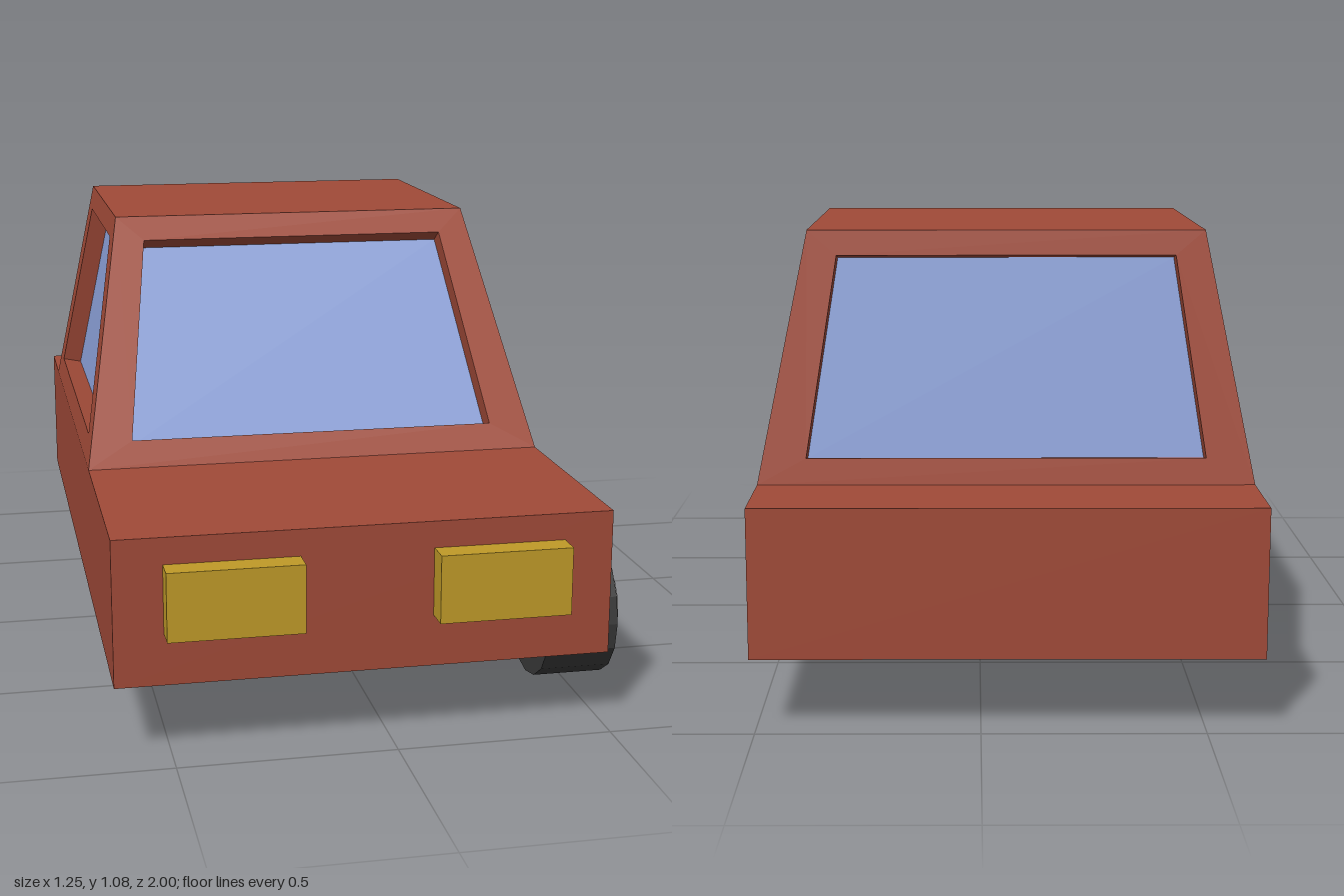
import * as THREE from 'three';

const paint = new THREE.MeshStandardMaterial({ color: 0xa04a38 });
const glass = new THREE.MeshStandardMaterial({ color: 0x8a9fd6 });
const lamp = new THREE.MeshStandardMaterial({ color: 0xbf9a28 });
const rubber = new THREE.MeshStandardMaterial({ color: 0x3a3a3a, flatShading: true });
const metal = new THREE.MeshStandardMaterial({ color: 0x8c8c8c, flatShading: true });

// Flat-shaded mesh from quads, corners counter-clockwise from outside
function quadMesh(name, quads, material) {
  const points = quads.flatMap(([a, b, c, d]) => [a, b, c, a, c, d]);
  const geometry = new THREE.BufferGeometry().setFromPoints(points);
  geometry.computeVertexNormals();
  const mesh = new THREE.Mesh(geometry, material);
  mesh.name = name;
  return mesh;
}

// Box given by its lower and upper corners
function boxMesh(name, min, max, material) {
  const size = max.map((v, i) => v - min[i]);
  const mesh = new THREE.Mesh(new THREE.BoxGeometry(...size), material);
  mesh.position.set(...max.map((v, i) => (v + min[i]) / 2));
  mesh.name = name;
  return mesh;
}

// Cylinder lying along x between x0 and x1
function discMesh(name, radius, x0, x1, y, z, material) {
  const mesh = new THREE.Mesh(new THREE.CylinderGeometry(radius, radius, x1 - x0, 16), material);
  mesh.rotation.z = -Math.PI / 2;
  mesh.position.set((x0 + x1) / 2, y, z);
  mesh.name = name;
  return mesh;
}

// Cabin wall with a recessed pane; corners: bottom left, bottom right, top right, top left
function windowWall(name, outer, opening) {
  const [a, b, , d] = outer;
  const normal = b.clone().sub(a).cross(d.clone().sub(a)).normalize();
  const deep = opening.map((p) => p.clone().addScaledVector(normal, -0.05));
  const quads = [];
  for (let i = 0; i < 4; i++) {
    const j = (i + 1) % 4;
    quads.push([outer[i], outer[j], opening[j], opening[i]]); // frame face
    quads.push([opening[i], opening[j], deep[j], deep[i]]); // reveal
  }
  const group = new THREE.Group();
  group.name = name + 'Wall';
  group.add(quadMesh(name + 'Frame', quads, paint), quadMesh(name + 'Window', [deep], glass));
  return group;
}

export function createModel() {
  const car = new THREE.Group();
  car.name = 'car';

  // Lower body
  car.add(boxMesh('body', [-0.627, 0.175, -1], [0.51, 0.515, 0.94], paint));

  // Tapered cabin: corner rings in order front right, front left, back left, back right
  const ring = (y, x0, x1, zBack, zFront) =>
    [[x0, zFront], [x1, zFront], [x1, zBack], [x0, zBack]].map(([x, z]) => new THREE.Vector3(x, y, z));
  const base = ring(0.515, -0.627, 0.51, -0.77, 0.37);
  const top = ring(1.087, -0.515, 0.397, -0.66, 0.03);
  const cabin = new THREE.Group();
  cabin.name = 'cabin';
  cabin.add(quadMesh('roof', [top], paint));

  // Each opening spans y 0.575 to 1.03, with margins in from the cabin corners
  ['front', 'left', 'back', 'right'].forEach((name, i) => {
    const j = (i + 1) % 4;
    const outer = [base[i], base[j], top[j], top[i]];
    const at = (from, to, y, margin) => {
      const t = (y - 0.515) / 0.572;
      const p = base[from].clone().lerp(top[from], t);
      const q = base[to].clone().lerp(top[to], t);
      return p.addScaledVector(q.sub(p).normalize(), margin);
    };
    const [low, high] = i % 2 ? [0.09, 0.09] : [0.1, 0.079];
    const opening = [at(i, j, 0.575, low), at(j, i, 0.575, low), at(j, i, 1.03, high), at(i, j, 1.03, high)];
    cabin.add(windowWall(name, outer, opening));
  });
  car.add(cabin);

  // Headlights
  car.add(boxMesh('rightHeadlight', [-0.515, 0.295, 0.9], [-0.21, 0.453, 1], lamp));
  car.add(boxMesh('leftHeadlight', [0.093, 0.295, 0.9], [0.397, 0.453, 1], lamp));

  // The single front left wheel
  const wheel = new THREE.Group();
  wheel.name = 'frontLeftWheel';
  wheel.add(discMesh('tyre', 0.171, 0.425, 0.597, 0.175, 0.6, rubber));
  wheel.add(discMesh('hub', 0.1, 0.5, 0.625, 0.175, 0.6, metal));
  car.add(wheel);

  return car;
}
